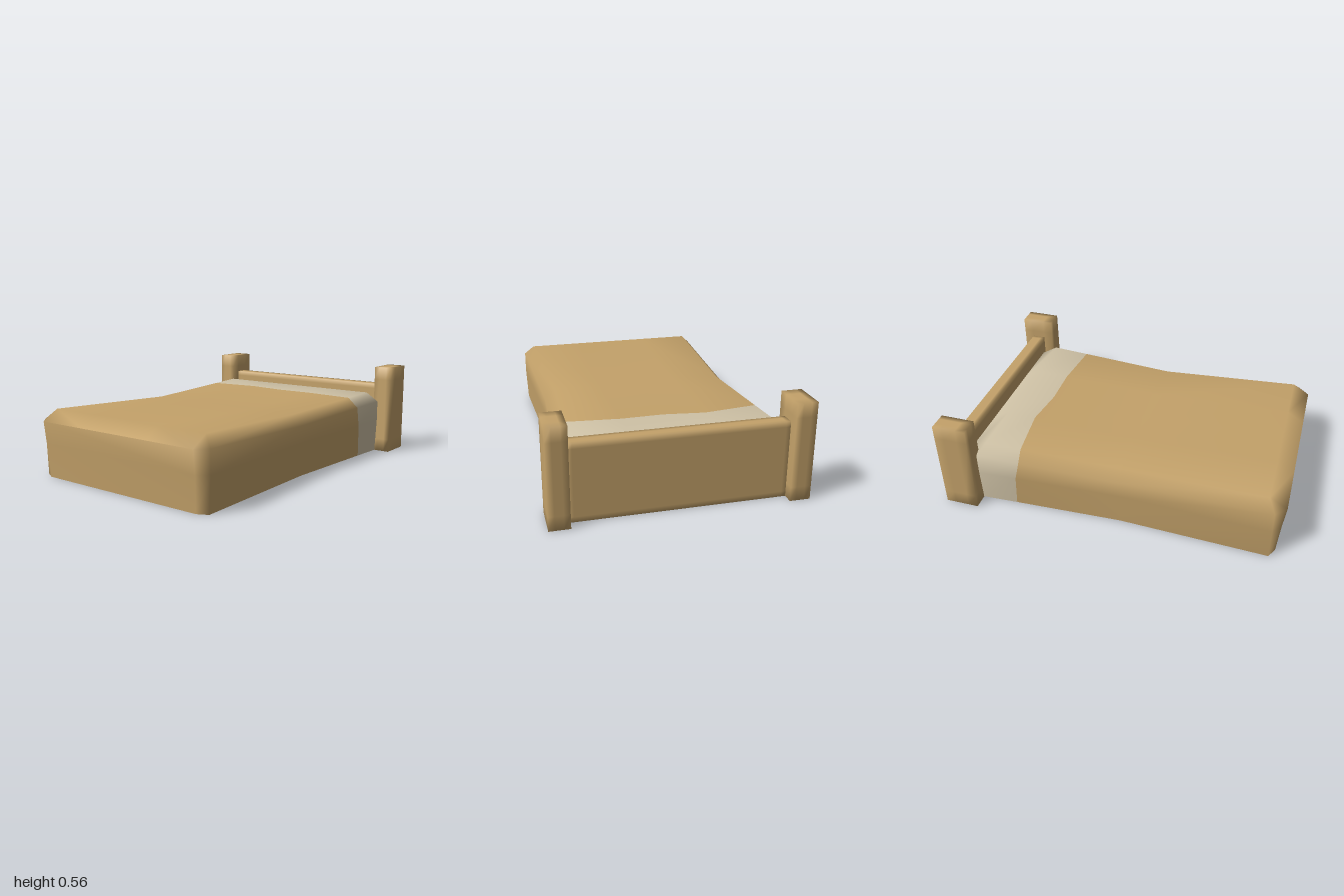
import * as THREE from 'three';
import { mergeVertices } from 'three/addons/utils/BufferGeometryUtils.js';

const wood = new THREE.MeshStandardMaterial({ color: 0xc4a26a, side: THREE.DoubleSide });
wood.name = 'warm tan';
const linen = new THREE.MeshStandardMaterial({ color: 0xcfc2a6, side: THREE.DoubleSide });
linen.name = 'pale linen';

// Drops hard edges so neighbouring faces share smooth normals
function smooth(geo) {
  geo.deleteAttribute('normal');
  geo.deleteAttribute('uv');
  const merged = mergeVertices(geo, 1e-4);
  merged.computeVertexNormals();
  return merged;
}

// Box standing on y = 0 with soft shading and edge loops near its borders
function softBox(w, h, d, inset) {
  const geo = new THREE.BoxGeometry(w, h, d, 3, 3, 3);
  const pos = geo.attributes.position;
  const loop = (v, size) => Math.abs(v) < size * 0.4 ? Math.sign(v) * (size / 2 - Math.min(inset, size * 0.3)) : v;
  for (let i = 0; i < pos.count; i++) {
    pos.setXYZ(i, loop(pos.getX(i), w), loop(pos.getY(i), h) + h / 2, loop(pos.getZ(i), d));
  }
  return smooth(geo);
}

// Bedding: an open-bottomed shell lofted along x, waisted in the middle
function beddingGeometry() {
  const mirror = (a) => [...a, ...a.slice(0, 5).reverse()];
  // x of each section point, from the +z hem over the top to the -z hem
  const stations = [
    { x: mirror([-0.97, -0.985, -1, -1, -1, -1]), w: 0.56, t: 0.33, c: 0 },
    { x: mirror([-0.94, -0.94, -0.94, -0.9, -0.9, -0.9]), w: 0.62, t: 0.39, c: 0.06 },
    { x: mirror([-0.06, -0.06, -0.06, -0.06, -0.06, -0.06]), w: 0.585, t: 0.36, c: 0.06 },
    { x: [0.585, 0.565, 0.54, 0.53, 0.56, 0.555, 0.585, 0.545, 0.54, 0.57, 0.585], w: 0.61, t: 0.382, c: 0.06 },
    { x: mirror([0.8, 0.8, 0.8, 0.76, 0.76, 0.76]), w: 0.62, t: 0.39, c: 0.06 },
    { x: mirror([0.835, 0.845, 0.86, 0.86, 0.86, 0.86]), w: 0.56, t: 0.33, c: 0 },
  ];
  const n = 11, verts = [], index = [];
  for (const { x, w, t, c } of stations) {
    const half = [[0, w - 0.01], [0.2, w], [t - c, w], [t, w - c], [t, 0.24]];
    const section = [...half, [t, 0], ...half.map(([y, z]) => [y, -z]).reverse()];
    section.forEach(([y, z], j) => verts.push(x[j], y, z - 0.004));
  }
  const quad = (a, b, c, d) => index.push(a, b, c, a, c, d);
  const endWall = (s, flip) => {
    for (let j = 0; j < 2; j++) {
      const q = [j, j + 1, n - 2 - j, n - 1 - j].map((k) => s * n + k);
      quad(...(flip ? q.reverse() : q));
    }
  };
  const skin = (from, to) => {
    for (let i = from; i < to; i++) {
      for (let j = 0; j < n - 1; j++) {
        const a = i * n + j;
        quad(a, a + n, a + n + 1, a + 1);
      }
    }
  };
  endWall(0, false);
  skin(0, 3);
  const split = index.length;
  skin(3, 5);
  endWall(5, true);

  const geo = new THREE.BufferGeometry();
  geo.setAttribute('position', new THREE.Float32BufferAttribute(verts, 3));
  geo.setIndex(index);
  const merged = smooth(geo);
  merged.clearGroups();
  merged.addGroup(0, split, 0);
  merged.addGroup(split, index.length - split, 1);
  return merged;
}

export function createModel() {
  const model = new THREE.Group();
  model.name = 'bed';

  // Blanket with the pale sheet showing at the head end
  const bedding = new THREE.Mesh(beddingGeometry(), [wood, linen]);
  bedding.name = 'blanketAndSheet';
  model.add(bedding);

  // Head board between the posts
  const board = new THREE.Mesh(softBox(0.08, 0.437, 1.19, 0.03), wood);
  board.name = 'headboard';
  board.position.x = 0.9;
  model.add(board);

  // Corner posts
  for (const side of [1, -1]) {
    const post = new THREE.Mesh(softBox(0.2, 0.558, 0.115, 0.08), wood);
    post.name = side > 0 ? 'frontPost' : 'backPost';
    post.position.set(0.9, 0, side * 0.6475);
    model.add(post);
  }
  return model;
}
